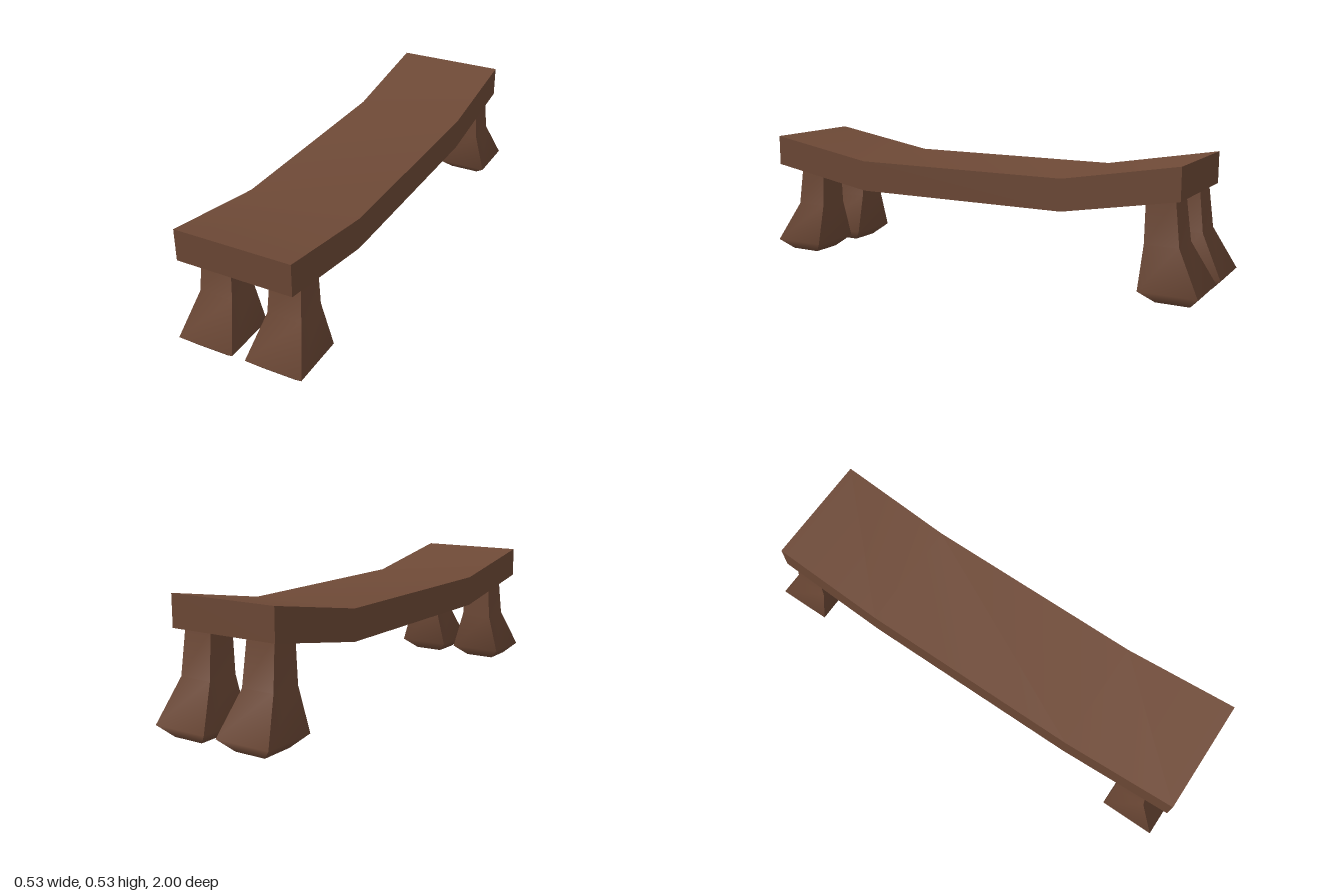
import * as THREE from 'three';

// Skins a run of four-cornered rings: each side is one smooth strip, corners and ends stay sharp.
function loft(rings) {
  const pos = [], idx = [];
  const n = rings.length;
  for (let k = 0; k < 4; k++) {
    const base = pos.length / 3;
    for (const r of rings) pos.push(...r[k], ...r[(k + 1) % 4]);
    for (let i = 0; i < n - 1; i++) {
      const a = base + i * 2;
      idx.push(a, a + 1, a + 3, a, a + 3, a + 2);
    }
  }
  const s = pos.length / 3;
  for (const r of [rings[0], rings[n - 1]]) for (const p of r) pos.push(...p);
  idx.push(s, s + 2, s + 1, s, s + 3, s + 2);
  idx.push(s + 4, s + 5, s + 6, s + 4, s + 6, s + 7);
  const geo = new THREE.BufferGeometry();
  geo.setAttribute('position', new THREE.Float32BufferAttribute(pos, 3));
  geo.setIndex(idx);
  geo.computeVertexNormals();
  return geo;
}

export function createModel() {
  const group = new THREE.Group();
  const wood = new THREE.MeshStandardMaterial({ color: 0x6f4a37 });
  wood.name = 'brown wood';

  function add(name, geo) {
    const mesh = new THREE.Mesh(geo, wood);
    mesh.name = name;
    group.add(mesh);
  }

  // Seat plank, raised at both ends: [z, underside y]
  const plank = [[-0.915, 0.4], [-0.435, 0.317], [0.515, 0.317], [0.995, 0.4]];
  const x0 = -0.237, x1 = 0.242, thick = 0.13;
  add('seat', loft(plank.map(([z, y]) => [
    [x0, y, z], [x1, y, z], [x1, y + thick, z], [x0, y + thick, z],
  ])));

  // Flared legs: [y, half width, inner z, outer z]
  const legProfile = [
    [0.0, 0.067, 0.82, 0.957],
    [0.048, 0.119, 0.765, 1.0],
    [0.22, 0.071, 0.77, 0.908],
    [0.41, 0.062, 0.77, 0.885],
  ];
  for (const end of [1, -1]) {
    for (const side of [1, -1]) {
      const cx = side * 0.147 + (end < 0 ? -0.002 : 0);
      const rings = legProfile.map(([y, w, zi, zo]) => {
        const near = Math.max(end * zi, end * zo);
        const far = Math.min(end * zi, end * zo);
        return [[cx - w, y, near], [cx + w, y, near], [cx + w, y, far], [cx - w, y, far]];
      });
      add((end > 0 ? 'front' : 'back') + (side > 0 ? 'Left' : 'Right') + 'Leg', loft(rings));
    }
  }
  return group;
}
